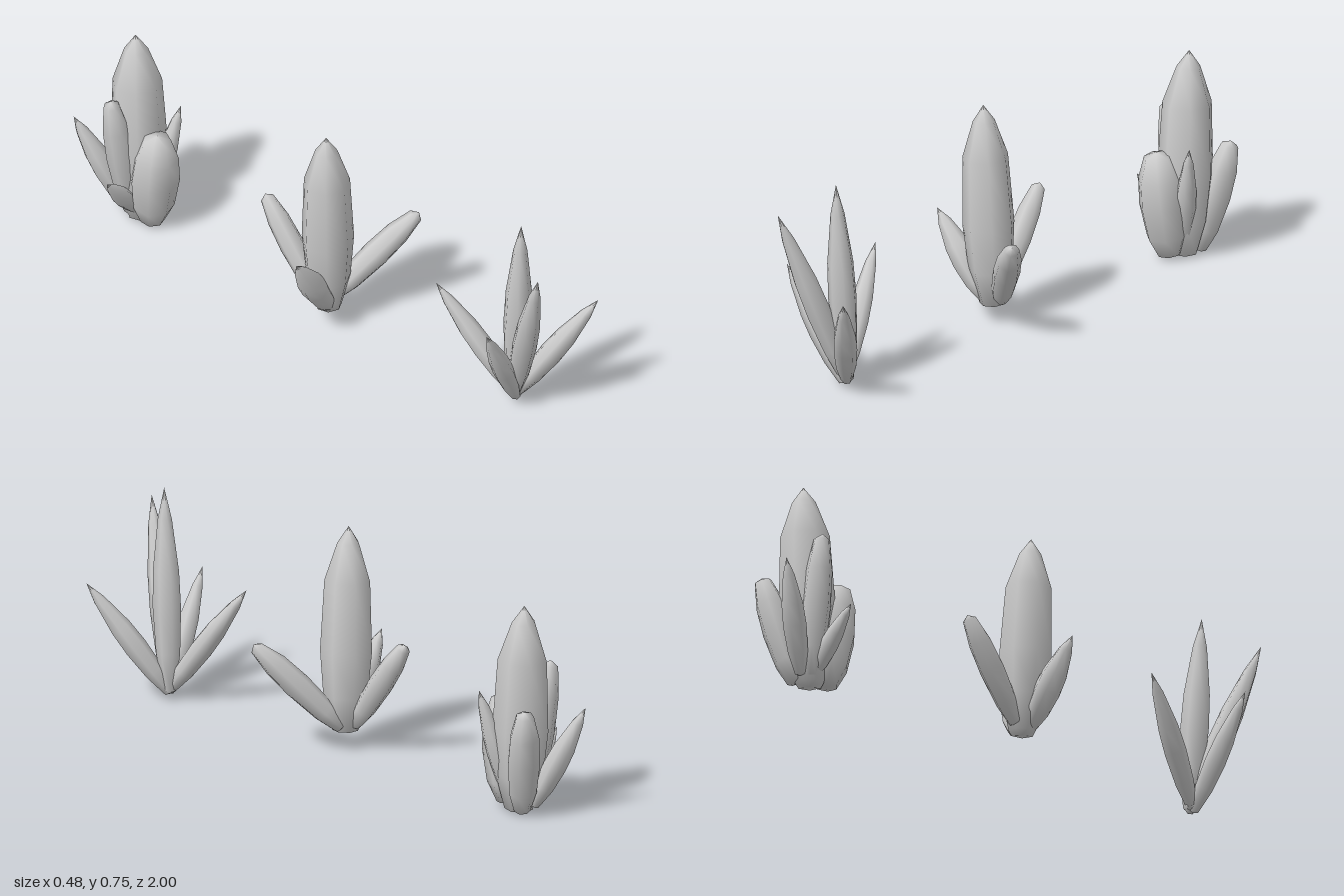
import * as THREE from 'three';

// Crystal outlines: [radius factor, position along the axis]
const PROFILES = {
  sharp: [[0, 0], [0.45, 0.015], [0.85, 0.2], [1, 0.42], [0.92, 0.6], [0.5, 0.85], [0, 1]],
  column: [[0, 0], [0.5, 0.01], [0.85, 0.18], [1, 0.4], [0.88, 0.74], [0.42, 0.92], [0, 1]],
  blunt: [[0, 0], [0.5, 0.015], [0.85, 0.2], [1, 0.5], [0.9, 0.75], [0.55, 0.96], [0, 1]],
};

// Each crystal: name, outline, base, tip, radius
const CLUSTERS = {
  frontCluster: [
    ['mainCrystal', 'sharp', [0.035, 0.02, 0.79], [0.02, 0.72, 0.83], 0.048],
    ['tallSideCrystal', 'sharp', [0.03, 0.02, 0.79], [-0.085, 0.63, 0.995], 0.042],
    ['leftCrystal', 'sharp', [0.03, 0.02, 0.79], [0.215, 0.395, 0.995], 0.04],
    ['rightCrystal', 'sharp', [0.03, 0.015, 0.8], [-0.18, 0.392, 0.855], 0.036],
    ['backCrystal', 'sharp', [0.03, 0.025, 0.8], [-0.078, 0.41, 0.545], 0.038],
  ],
  middleCluster: [
    ['mainCrystal', 'column', [-0.035, 0.055, 0.04], [-0.065, 0.755, 0.055], 0.088],
    ['leftCrystal', 'blunt', [-0.01, 0.075, 0.03], [0.22, 0.375, 0.21], 0.046],
    ['rightCrystal', 'sharp', [-0.05, 0.07, 0.055], [-0.247, 0.35, 0.085], 0.046],
    ['backCrystal', 'blunt', [-0.045, 0.08, 0.01], [-0.065, 0.405, -0.21], 0.042],
  ],
  backCluster: [
    ['mainCrystal', 'column', [0.005, 0.0, -0.81], [0.005, 0.712, -0.836], 0.095],
    ['frontCrystal', 'blunt', [-0.005, 0.01, -0.755], [-0.025, 0.378, -0.715], 0.083],
    ['rightCrystal', 'blunt', [-0.02, 0.02, -0.83], [-0.108, 0.5, -0.845], 0.05],
    ['leftCrystal', 'blunt', [0.03, 0.01, -0.85], [0.1, 0.39, -0.935], 0.055],
    ['backSpike', 'sharp', [-0.01, 0.02, -0.86], [-0.115, 0.37, -1.0], 0.04],
    ['rightSpike', 'sharp', [-0.01, 0.03, -0.81], [-0.19, 0.235, -0.79], 0.032],
    ['leftSpike', 'sharp', [0.02, 0.03, -0.79], [0.11, 0.42, -0.73], 0.035],
  ],
};

const SIDES = 7;
const UP = new THREE.Vector3(0, 1, 0);

// Tapered prism from base to tip; blunt ends are cut off level
function crystal([name, kind, from, to, radius], material, spin) {
  const base = new THREE.Vector3(...from);
  const axis = new THREE.Vector3(...to).sub(base);
  const length = axis.length();
  const points = PROFILES[kind].map(([r, t]) => new THREE.Vector2(r * radius, t * length));
  const geometry = new THREE.LatheGeometry(points, SIDES);
  geometry.rotateY(spin);
  geometry.applyQuaternion(new THREE.Quaternion().setFromUnitVectors(UP, axis.normalize()));
  geometry.translate(base.x, base.y, base.z);

  const position = geometry.attributes.position;
  for (let i = 0; i < position.count; i++) {
    const y = Math.max(position.getY(i), 0);
    position.setY(i, kind === 'blunt' ? Math.min(y, to[1]) : y);
  }
  const mesh = new THREE.Mesh(geometry, material);
  mesh.name = name;
  return mesh;
}

export function createModel() {
  const model = new THREE.Group();
  model.name = 'crystalClusters';
  const material = new THREE.MeshStandardMaterial({ color: 0xcccccc });
  for (const [name, crystals] of Object.entries(CLUSTERS)) {
    const cluster = new THREE.Group();
    cluster.name = name;
    crystals.forEach((spec, i) => cluster.add(crystal(spec, material, i * 0.7)));
    model.add(cluster);
  }
  return model;
}
